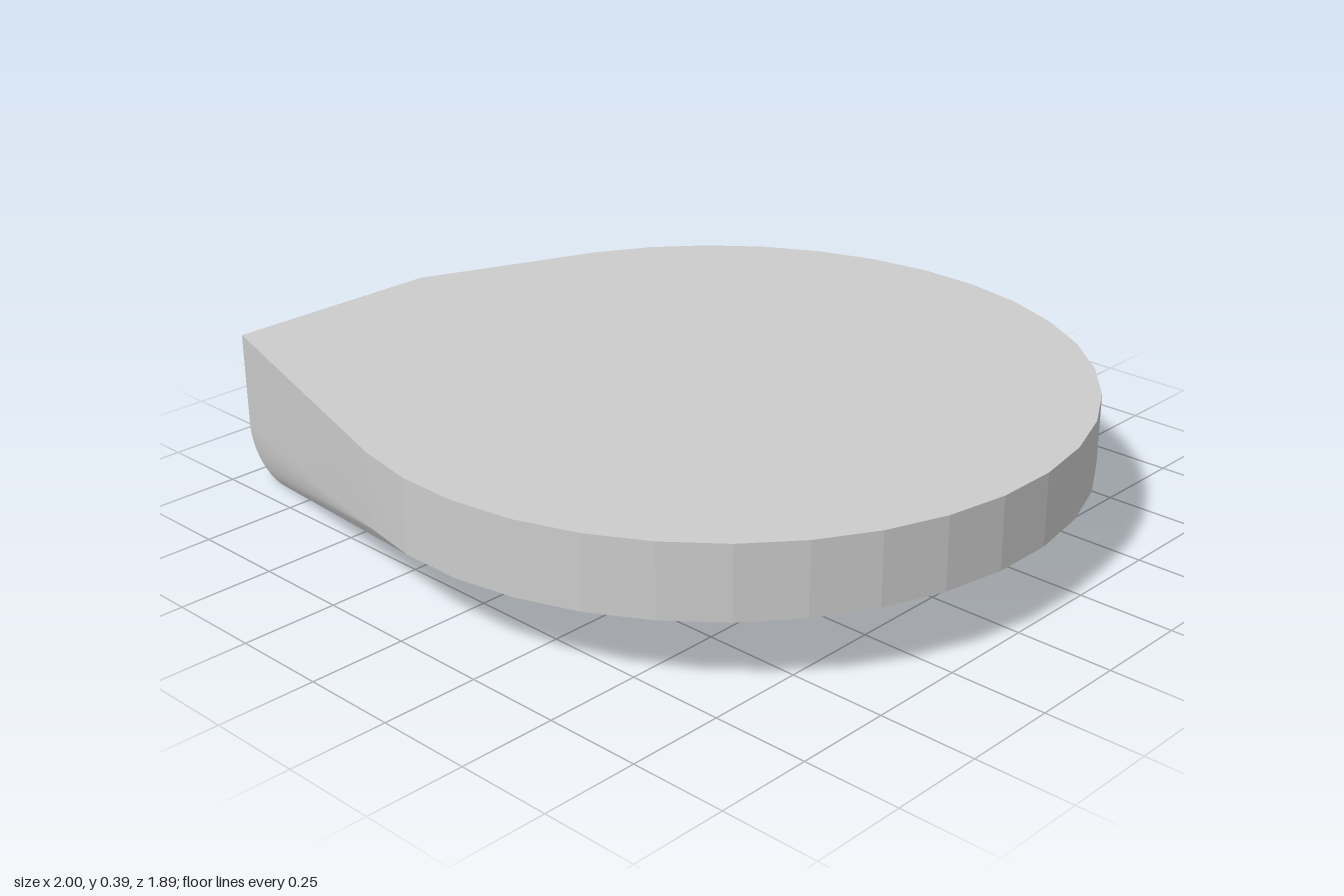
import * as THREE from 'three';
import { ConvexGeometry } from 'three/addons/geometries/ConvexGeometry.js';
import { toCreasedNormals } from 'three/addons/utils/BufferGeometryUtils.js';

const SEGMENTS = 36, CENTER_X = 0.053, RADIUS = 0.948;
const DISC_BOTTOM = 0.19, ROUNDING = 0.14, STEPS = 10;

// The top face tilts very slightly down towards +x
const topY = (x) => 0.383 - 0.006 * x;

export function createModel() {
  const points = [];
  const add = (x, y, z) => points.push(new THREE.Vector3(x, y, z));

  // Round disc
  for (let i = 0; i < SEGMENTS; i++) {
    const a = ((i + 0.5) / SEGMENTS) * Math.PI * 2;
    const x = CENTER_X + RADIUS * Math.cos(a), z = RADIUS * Math.sin(a);
    add(x, DISC_BOTTOM, z);
    add(x, topY(x), z);
  }

  // Flat end of the spout, bevelled at its back corner
  add(-1, topY(-1), 0.68);
  add(-1, topY(-1), 0.08);
  add(-1, 0.3, 0.08);

  // Rounded lower lip, shortened towards the bottom by the bevel
  for (let i = 0; i <= STEPS; i++) {
    const t = i / STEPS, a = t * Math.PI / 2;
    const x = -1 + ROUNDING * (1 - Math.cos(a));
    const y = ROUNDING * (1 - Math.sin(a));
    add(x, y, 0.68);
    add(x, y, 0.25 + 0.14 * Math.sin(a));
  }

  // Skin stretched over disc and spout: faceted rim, smooth underside
  const geometry = toCreasedNormals(new ConvexGeometry(points), 0.13);
  const body = new THREE.Mesh(geometry, new THREE.MeshStandardMaterial({ color: 0xcccccc }));
  body.name = 'spoutedDisc';

  const group = new THREE.Group();
  group.name = 'discWithSpout';
  group.add(body);
  return group;
}
